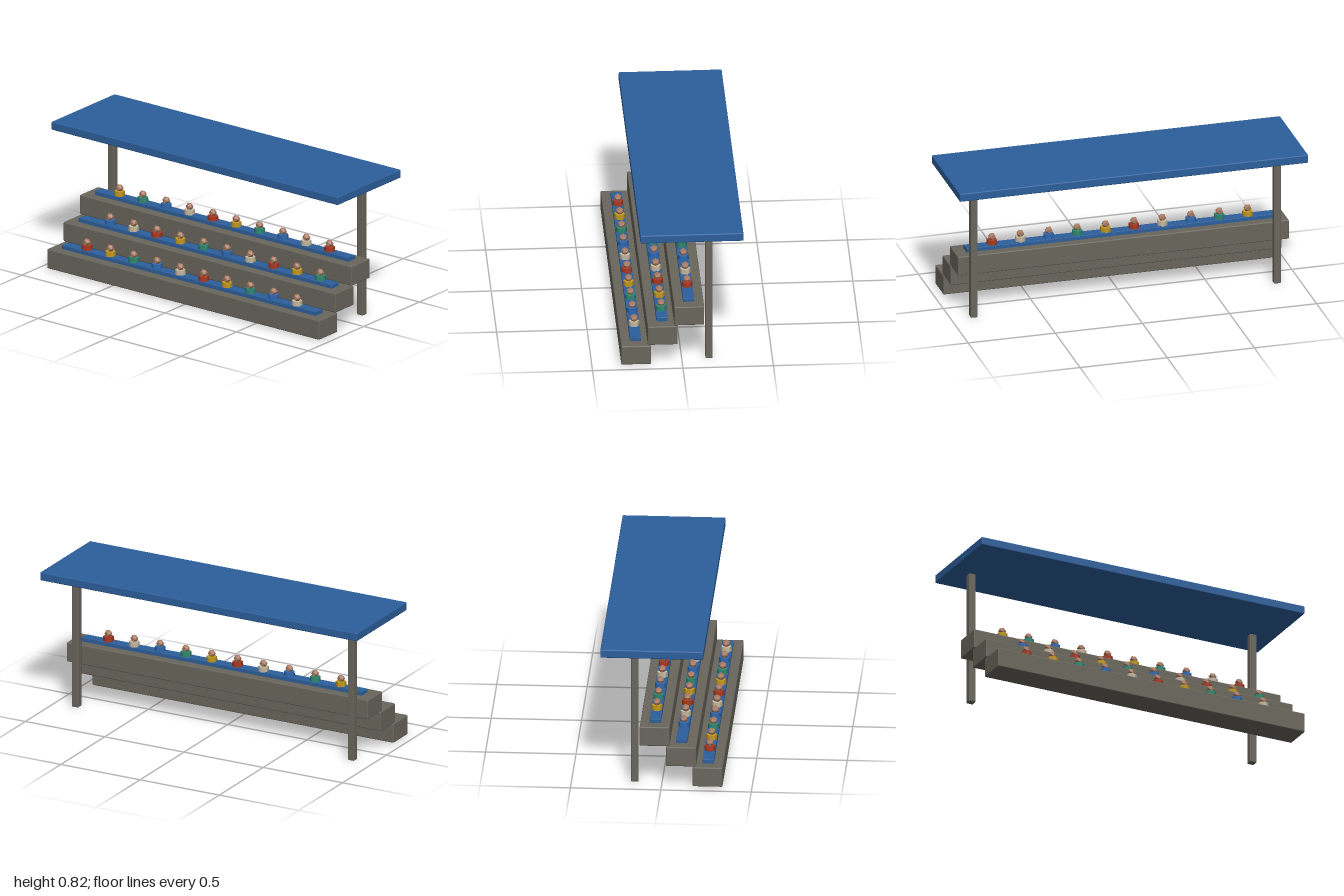
import * as THREE from 'three';
import { RoundedBoxGeometry } from 'three/addons/geometries/RoundedBoxGeometry.js';

export function createModel() {
  const group = new THREE.Group();
  group.name = 'grandstand';

  const mat = (name, color) => {
    const m = new THREE.MeshStandardMaterial({ color });
    m.name = name;
    return m;
  };
  const concrete = mat('concrete grey', 0x69665c);
  const blue = mat('stand blue', 0x2c5f9c);
  const skin = mat('skin', 0xa97a62);
  const shirts = [
    mat('red shirt', 0xab3a24),
    mat('yellow shirt', 0xc49a20),
    mat('green shirt', 0x2f8a72),
    mat('blue shirt', 0x2f6ab4),
    mat('cream shirt', 0xc6baa0),
  ];

  const add = (name, geometry, material, x, y, z, parent = group) => {
    const mesh = new THREE.Mesh(geometry, material);
    mesh.name = name;
    mesh.position.set(x, y, z);
    parent.add(mesh);
    return mesh;
  };

  const stepGeo = new RoundedBoxGeometry(1.9, 0.113, 0.166, 2, 0.006);
  const seatGeo = new RoundedBoxGeometry(1.77, 0.024, 0.062, 1, 0.002);
  const postGeo = new RoundedBoxGeometry(0.04, 0.785, 0.04, 2, 0.005);
  const bodyGeo = new THREE.CylinderGeometry(0.0295, 0.0305, 0.03, 6);
  const headGeo = new THREE.IcosahedronGeometry(0.0225, 0);

  // Three stepped tiers, each with a bench and ten spectators
  for (let row = 0; row < 3; row++) {
    const tier = new THREE.Group();
    tier.name = `tier${row + 1}`;
    tier.position.set(0, row * 0.117, 0.255 - row * 0.1465);
    group.add(tier);
    add('step', stepGeo, concrete, 0, 0.0615, 0, tier);
    add('bench', seatGeo, blue, 0, 0.128, 0, tier);

    for (let i = 0; i < 10; i++) {
      const person = new THREE.Group();
      person.name = 'spectator';
      person.position.x = -0.735 + i * 0.163 + (row === 1 ? 0.049 : 0);
      tier.add(person);
      add('body', bodyGeo, shirts[(i + row * 3) % 5], 0, 0.152, 0, person);
      add('head', headGeo, skin, 0, 0.183, 0, person);
    }
  }

  // Rear posts carrying the roof
  for (const side of [-1, 1]) add('post', postGeo, concrete, side * 0.87, 0.3925, -0.151);
  add('roof', new RoundedBoxGeometry(2, 0.048, 0.57, 2, 0.006), blue, 0, 0.801, -0.05);

  return group;
}
